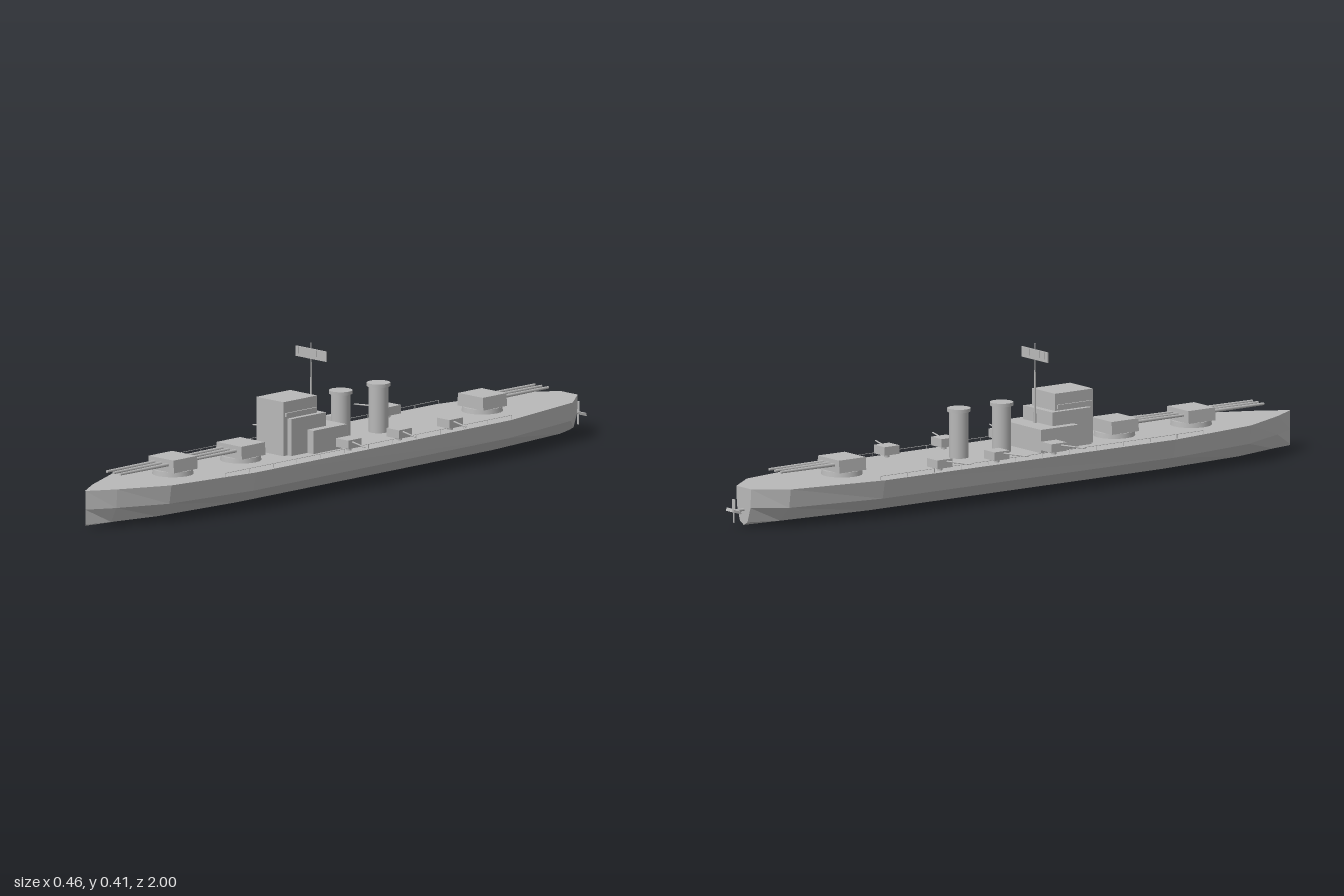
import * as THREE from 'three';

const DECK = 0.112;

// Hull lofted from V-shaped cross-sections, bow to stern: [z, half width, keel height]
function hullGeometry() {
  const stations = [
    [1, 0.001, 0.01], [0.92, 0.05, 0.006], [0.77, 0.12, 0.001], [0.47, 0.162, 0],
    [-0.57, 0.156, 0], [-0.87, 0.105, 0.001], [-0.96, 0.035, 0.003],
  ];
  const pos = [], index = [], n = 7;
  for (const [z, w, keel] of stations) {
    const side = [[w, DECK], [w * 0.93, 0.057], [w * 0.51, 0.013]];
    const ring = [...side, [0, keel], ...side.map(([x, y]) => [-x, y]).reverse()];
    for (const [x, y] of ring) pos.push(x, y, z);
  }
  const last = (stations.length - 1) * n;
  for (let i = 0; i < last; i += n) {
    for (let j = 0; j < n; j++) {
      const k = (j + 1) % n;
      index.push(i + j, i + k, i + n + k, i + j, i + n + k, i + n + j);
    }
  }
  for (let j = 1; j < n - 1; j++) index.push(last, last + j, last + j + 1);
  const g = new THREE.BufferGeometry();
  g.setAttribute('position', new THREE.Float32BufferAttribute(pos, 3));
  g.setIndex(index);
  const flat = g.toNonIndexed();
  flat.computeVertexNormals();
  return flat;
}

export function createModel() {
  const ship = new THREE.Group();
  ship.name = 'battleship';
  const grey = new THREE.MeshStandardMaterial({ color: 0xb8b8b8 });
  grey.name = 'hull grey';

  const add = (parent, name, geometry, x = 0, y = 0, z = 0) => {
    const m = new THREE.Mesh(geometry, grey);
    m.name = name;
    m.position.set(x, y, z);
    parent.add(m);
    return m;
  };
  const group = (name, x, y, z) => {
    const g = new THREE.Group();
    g.name = name;
    g.position.set(x, y, z);
    ship.add(g);
    return g;
  };
  // Box given by half width, bottom, top, back and front
  const block = (name, hw, y0, y1, z0, z1) =>
    add(ship, name, new THREE.BoxGeometry(hw * 2, y1 - y0, z1 - z0), 0, (y0 + y1) / 2, (z0 + z1) / 2);
  // Rod along z, starting at z0
  const rod = (r0, r1, z0, length) =>
    new THREE.CylinderGeometry(r1, r0, length, 10).rotateX(Math.PI / 2).translate(0, 0, z0 + length / 2);

  add(ship, 'hull', hullGeometry());

  // Stepped bridge
  block('lowerBridge', 0.095, DECK, 0.18, 0.035, 0.17);
  block('middleBridge', 0.07, DECK, 0.22, 0.095, 0.235);
  block('bridgeTower', 0.055, DECK, 0.27, 0.115, 0.252);
  block('bridgeLedge', 0.06, 0.226, 0.237, 0.122, 0.245);

  // Mast with radar panel
  add(ship, 'mast', new THREE.CylinderGeometry(0.0012, 0.004, 0.235, 8), 0, 0.2955, 0.085);
  add(ship, 'radarPanel', new THREE.BoxGeometry(0.124, 0.03, 0.004), 0, 0.38, 0.085);
  for (const x of [-0.05, -0.025, 0.025, 0.05]) {
    add(ship, 'radarRib', new THREE.BoxGeometry(0.002, 0.02, 0.007), x, 0.384, 0.085);
  }

  // Funnels with a rim at the top
  for (const z of [-0.035, -0.188]) {
    add(ship, 'funnel', new THREE.CylinderGeometry(0.028, 0.028, 0.138, 24), 0, DECK + 0.069, z);
    add(ship, 'funnelRim', new THREE.CylinderGeometry(0.034, 0.034, 0.01, 24), 0, 0.251, z);
  }

  // Triple-gun main turrets, the aft one facing the stern
  const turret = (z, facing) => {
    const t = group('mainTurret', 0, DECK, z);
    t.rotation.y = facing;
    add(t, 'turretBase', new THREE.CylinderGeometry(0.058, 0.06, 0.014, 20), 0, 0.007, 0);
    const house = new THREE.BoxGeometry(0.106, 0.037, 0.096);
    const p = house.attributes.position;
    for (let i = 0; i < p.count; i++) if (p.getY(i) > 0) p.setX(i, p.getX(i) * 0.95);
    house.computeVertexNormals();
    add(t, 'turretHouse', house, 0, 0.0325, 0);
    for (const x of [-0.027, 0, 0.027]) {
      add(t, 'gunBarrel', rod(0.0055, 0.004, 0.04, 0.2), x, 0.036, 0);
    }
  };
  turret(0.645, 0);
  turret(0.37, 0);
  turret(-0.608, Math.PI);

  // Secondary guns along both sides, angled outward and forward
  for (const side of [-1, 1]) {
    for (const z of [0.058, -0.147, -0.352]) {
      const s = group('secondaryGun', side * 0.126, DECK, z);
      add(s, 'gunPedestal', new THREE.CylinderGeometry(0.008, 0.008, 0.012, 10), 0, 0.006, 0);
      add(s, 'gunHouse', new THREE.BoxGeometry(0.05, 0.025, 0.054), 0, 0.0225, 0);
      const barrel = add(s, 'gunBarrel', rod(0.003, 0.002, 0, 0.108), 0, 0.028, 0);
      barrel.rotation.y = side * 1.23;
    }

    // Thin deck rail with posts
    add(ship, 'deckRail', rod(0.0008, 0.0008, -0.58, 1.16), side * 0.148, 0.124, 0);
    for (let i = 0; i <= 12; i++) {
      add(ship, 'railPost', new THREE.CylinderGeometry(0.0008, 0.0008, 0.012, 6),
        side * 0.148, DECK + 0.006, -0.58 + i * 1.16 / 12);
    }
  }

  // Propeller on its shaft at the stern
  const prop = group('propeller', 0, 0.048, -0.996);
  add(prop, 'propellerShaft', rod(0.004, 0.005, -0.004, 0.06));
  for (let i = 0; i < 4; i++) {
    const arm = new THREE.Group();
    arm.name = 'propellerBlade';
    arm.rotation.z = i * Math.PI / 2;
    const blade = add(arm, 'blade', new THREE.BoxGeometry(0.01, 0.033, 0.002), 0, 0.0175, 0);
    blade.rotation.y = 0.4;
    prop.add(arm);
  }
  return ship;
}
